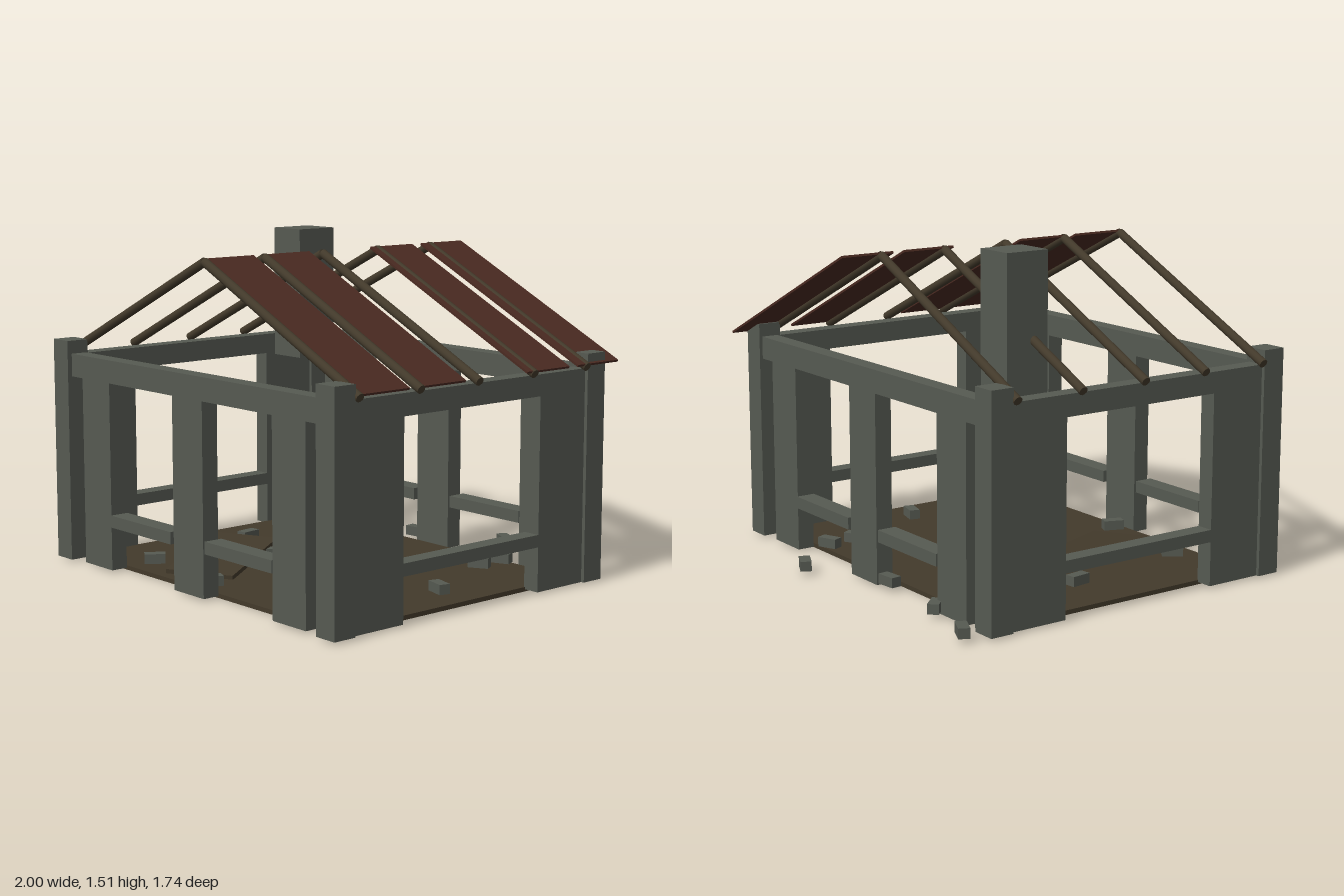
import * as THREE from 'three';

export function createModel() {
  const root = new THREE.Group();
  root.name = 'ruinedHouse';
  const mat = (name, color) => {
    const m = new THREE.MeshStandardMaterial({ color });
    m.name = name;
    return m;
  };
  const stone = mat('greyStone', 0x565a52);
  const wood = mat('oldWood', 0x433a2b);
  const tile = mat('redRoof', 0x4a2a21);

  // Box given by its limits along each axis
  const block = (name, m, x0, x1, y0, y1, z0, z1) => {
    const mesh = new THREE.Mesh(new THREE.BoxGeometry(x1 - x0, y1 - y0, z1 - z0), m);
    mesh.position.set((x0 + x1) / 2, (y0 + y1) / 2, (z0 + z1) / 2);
    mesh.name = name;
    root.add(mesh);
    return mesh;
  };

  // Floor
  block('floor', wood, -0.89, 0.89, 0, 0.02, -0.59, 0.765);

  // Corner posts
  for (const x of [-0.925, 0.925])
    for (const z of [-0.645, 0.815])
      block('cornerPost', stone, x - 0.056, x + 0.056, 0.01, 1.03, z - 0.055, z + 0.055);

  // Front and back walls: three piers, a lintel beam and two sills
  for (const z of [-0.645, 0.808]) {
    const a = z - 0.04, b = z + 0.04;
    for (const x of [-0.68, 0, 0.675])
      block('wallPier', stone, x - 0.105, x + 0.105, 0.01, 0.866, a, b);
    block('wallBeam', stone, -0.87, 0.87, 0.866, 0.97, a, b);
    for (const x of [-0.347, 0.345])
      block('windowSill', stone, x - 0.224, x + 0.224, 0.21, 0.265, a - 0.005, b + 0.005);
  }

  // Side walls: two piers, a beam and one sill
  for (const x of [-0.925, 0.925]) {
    const a = x - 0.04, b = x + 0.04;
    block('sidePier', stone, a, b, 0.01, 0.87, 0.485, 0.76);
    block('sidePier', stone, a, b, 0.01, 0.87, -0.59, -0.31);
    block('sideBeam', stone, a, b, 0.87, 0.965, -0.59, 0.76);
    block('sideSill', stone, a, b, 0.21, 0.265, -0.31, 0.485);
  }

  // Chimney stub
  block('chimney', stone, -0.656, -0.469, 0.9, 1.51, -0.387, -0.177);

  // Rafters, mirrored about the ridge
  const run = 0.99, drop = 0.467;
  const slope = Math.atan2(drop, run), length = Math.hypot(run, drop);
  for (const z of [0.745, 0.415, 0.083, -0.247, -0.576])
    for (const s of [-1, 1]) {
      const rafter = new THREE.Mesh(new THREE.CylinderGeometry(0.02, 0.02, length, 12), wood);
      rafter.position.set((s * run) / 2, 1.441 - drop / 2, z);
      rafter.rotation.z = s * (Math.PI / 2 - slope);
      rafter.name = 'rafter';
      root.add(rafter);
    }

  // Remaining roof panels on one slope
  for (const z of [0.61, 0.295, -0.33, -0.645]) {
    const panel = new THREE.Mesh(new THREE.BoxGeometry(length, 0.01, 0.26), tile);
    panel.position.set(run / 2, 1.451 - drop / 2, z);
    panel.rotation.z = -slope;
    panel.name = 'roofPanel';
    root.add(panel);
  }

  // Fallen door leaning on rubble
  const door = block('fallenDoor', wood, -0.16, 0.16, 0, 0.02, -0.283, 0.283);
  door.position.set(-0.33, 0.056, 0.405);
  door.rotation.set(0.09, Math.PI / 6, -0.02, 'YXZ');

  // Loose bricks: x, z, turn
  const bricks = [
    [-0.9, -0.785, -0.45], [0.265, -0.83, -0.45], [-0.58, -0.7, -0.8], [-0.665, -0.38, 1.3],
    [-0.625, 0.02, 1.7], [-0.045, -0.03, -0.45], [-0.26, 0.155, 1.1], [-0.535, 0.64, 0.95],
    [-0.03, 0.7, 1.2], [0.71, 0.035, -0.25], [0.5, -0.56, 0.4], [0.5, -0.42, 0.5],
    [-0.16, -0.655, 0.1], [0.52, 0.66, 0.3],
  ];
  for (const [x, z, turn] of bricks) {
    const brick = block('looseBrick', stone, -0.048, 0.048, 0, 0.045, -0.025, 0.025);
    brick.position.set(x, 0.043, z);
    brick.rotation.y = turn;
  }

  return root;
}
